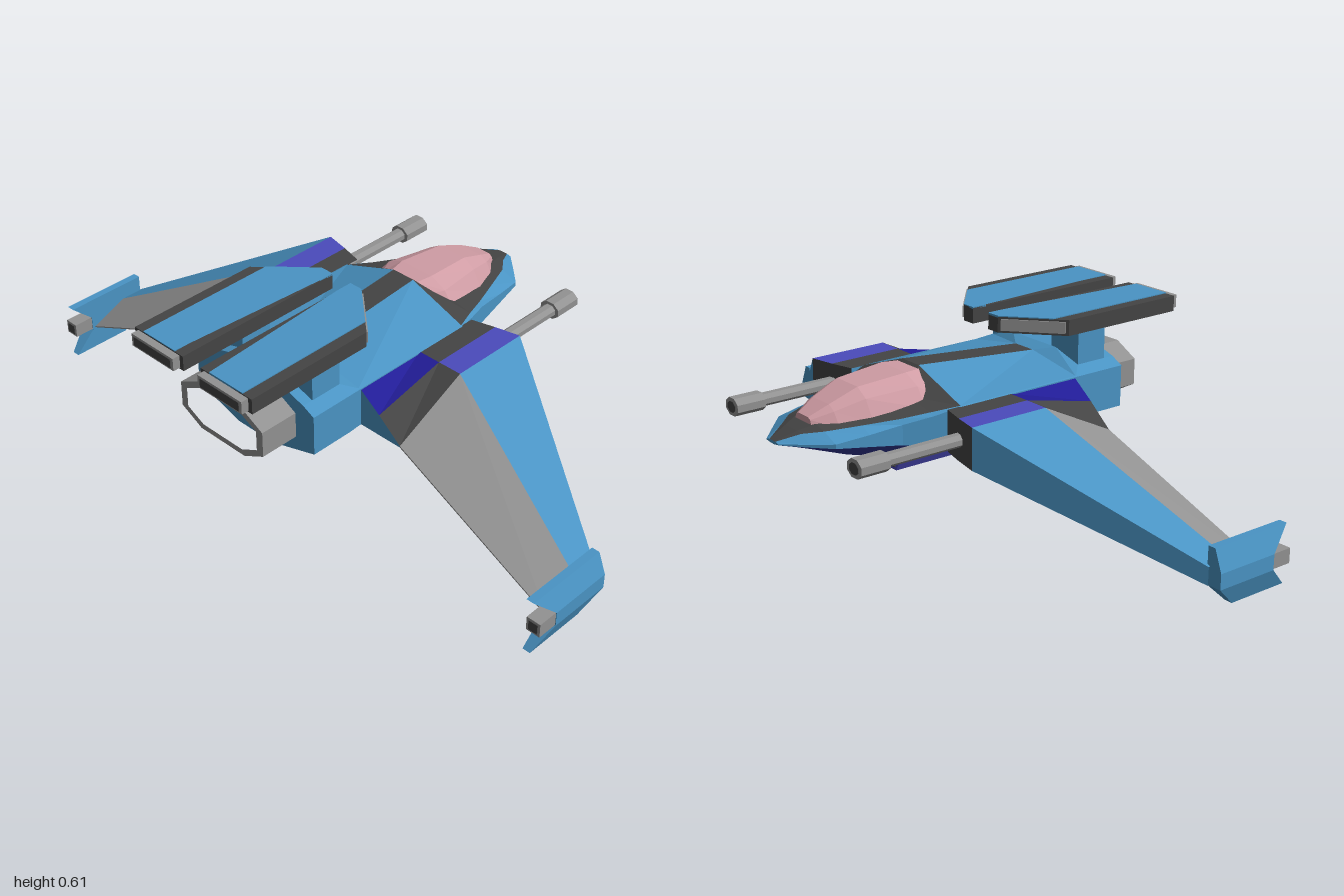
import * as THREE from 'three';

const BLUE = 0x4a94c4, NAVY = 0x33399a, INDIGO = 0x211c96, VIOLET = 0x4b4bbc;
const DARK = 0x444444, GREY = 0x929292, PINK = 0xcf9ca4;

const material = (color) => new THREE.MeshStandardMaterial({ color, flatShading: true });

// Joins rings of [x, y, z] points; strips[i] colours the band after point i, caps colour the ends.
function loft(name, rings, strips, caps = []) {
  const byColor = new Map();
  const V = (p) => new THREE.Vector3(...p);
  const add = (color, center, a, b, c) => {
    const normal = V(b).sub(V(a)).cross(V(c).sub(V(a)));
    if (normal.length() < 1e-9) return;
    const out = V(a).add(V(b)).add(V(c)).divideScalar(3).sub(center);
    if (!byColor.has(color)) byColor.set(color, []);
    byColor.get(color).push(...a, ...(normal.dot(out) < 0 ? [...c, ...b] : [...b, ...c]));
  };
  const middle = (points) => points.reduce((s, p) => s.add(V(p)), V([0, 0, 0])).divideScalar(points.length);
  for (let r = 0; r < rings.length - 1; r++) {
    const A = rings[r], B = rings[r + 1], n = A.length, center = middle([...A, ...B]);
    for (let i = 0; i < n; i++) {
      const j = (i + 1) % n, color = strips[i % strips.length];
      add(color, center, A[i], A[j], B[j]);
      add(color, center, A[i], B[j], B[i]);
    }
    const cap = (ring, color) => {
      for (let i = 1; i < n - 1; i++) add(color, center, ring[0], ring[i], ring[i + 1]);
    };
    if (r === 0 && caps[0] !== undefined) cap(A, caps[0]);
    if (r === rings.length - 2 && caps[1] !== undefined) cap(B, caps[1]);
  }
  const group = new THREE.Group();
  group.name = name;
  for (const [color, positions] of byColor) {
    const g = new THREE.BufferGeometry();
    g.setAttribute('position', new THREE.Float32BufferAttribute(positions, 3));
    g.computeVertexNormals();
    const mesh = new THREE.Mesh(g, material(color));
    mesh.name = name + 'Panel';
    group.add(mesh);
  }
  return group;
}

// Symmetric section at z from half-profile points [x, y], listed top to bottom.
const section = (z, half) => [
  ...half.map(([x, y]) => [x, y, z]),
  ...half.slice().reverse().map(([x, y]) => [-x, y, z]),
];
// Strip colours for a symmetric section: bands down one side, then belly, bands back up, top.
const bands = (side, belly, top) => [...side, belly, ...side.slice().reverse(), top];

function box(name, color, x0, x1, y0, y1, z0, z1) {
  const mesh = new THREE.Mesh(new THREE.BoxGeometry(Math.abs(x1 - x0), y1 - y0, z1 - z0), material(color));
  mesh.position.set((x0 + x1) / 2, (y0 + y1) / 2, (z0 + z1) / 2);
  mesh.name = name;
  return mesh;
}

// Horizontal slab from a plan outline of [x, z] points.
const slab = (name, plan, y0, y1, side, top, bottom) =>
  loft(name, [plan.map(([x, z]) => [x, y0, z]), plan.map(([x, z]) => [x, y1, z])], [side], [bottom, top]);

function fuselage() {
  const g = new THREE.Group();
  g.name = 'fuselage';
  // Half profiles: top, inner frame edge, shoulder, lower edge, belly
  const front = [[.04, .497], [.235, .427], [.24, .425], [.24, .305], [.07, .245]];
  const back = [[.04, .46], [.235, .427], [.24, .425], [.24, .3], [.07, .245]];
  const nose = [
    section(-.19, front),
    section(-.27, [[.1, .435], [.2, .415], [.21, .405], [.21, .315], [.07, .247]]),
    section(-.35, [[.1, .42], [.17, .405], [.18, .39], [.18, .33], [.065, .265]]),
    section(-.45, [[.08, .41], [.13, .397], [.163, .378], [.163, .343], [.055, .288]]),
    section(-.55, [[.05, .4], [.09, .39], [.145, .368], [.145, .355], [.04, .322]]),
    section(-.6, [[.03, .387], [.05, .383], [.095, .364], [.095, .356], [.03, .338]]),
    section(-.662, [[.01, .364], [.015, .364], [.03, .361], [.03, .358], [.01, .355]]),
  ];
  g.add(loft('nose', nose, bands([DARK, BLUE, BLUE, NAVY], NAVY, DARK), [undefined, BLUE]));
  g.add(loft('midBody', [section(-.19, front), section(.24, back)], bands([BLUE, BLUE, BLUE, NAVY], NAVY, DARK)));
  const block = [[.1, .475], [.2, .445], [.24, .425], [.24, .297], [.07, .245]];
  g.add(loft('engineBlock', [section(.24, back), section(.28, block), section(.42, block)],
    bands([BLUE, BLUE, BLUE, NAVY], NAVY, BLUE), [undefined, BLUE]));

  g.add(loft('canopy', [
    section(-.195, [[.05, .49], [.09, .465], [.13, .43]]),
    section(-.25, [[.06, .492], [.115, .465], [.155, .41]]),
    section(-.41, [[.05, .48], [.09, .455], [.125, .395]]),
    section(-.5, [[.04, .445], [.065, .43], [.09, .39]]),
    section(-.56, [[.025, .416], [.035, .41], [.045, .385]]),
  ], [PINK], [PINK, PINK]));

  const keel = [[.065, .25], [.035, .19]];
  g.add(loft('keel', [section(-.27, keel), section(.2, keel)], [VIOLET], [VIOLET, VIOLET]));
  g.add(box('keelIntake', DARK, -.032, .032, .2, .24, -.274, -.26));
  return g;
}

// Hollow hexagonal exhaust
function exhaust() {
  const hex = (P, w, h, t) => P.setFromPoints(
    [[-t, h], [t, h], [w, h / 2], [w, -h / 2], [t, -h], [-t, -h], [-w, -h / 2], [-w, h / 2]].map((p) => new THREE.Vector2(...p)));
  const g = new THREE.Group();
  g.name = 'exhaust';
  const shape = hex(new THREE.Shape(), .168, .082, .09);
  shape.holes.push(hex(new THREE.Path(), .143, .064, .08));
  const shell = new THREE.Mesh(new THREE.ExtrudeGeometry(shape, { depth: .13, bevelEnabled: false }), material(GREY));
  shell.name = 'exhaustShell';
  const throat = new THREE.Mesh(new THREE.ShapeGeometry(hex(new THREE.Shape(), .15, .07, .085)), material(DARK));
  throat.position.z = .02;
  throat.name = 'exhaustThroat';
  g.add(shell, throat);
  g.position.set(0, .362, .415);
  return g;
}

// All parts of one side; s is +1 or -1
function side(s) {
  const g = new THREE.Group();
  g.name = s > 0 ? 'leftSide' : 'rightSide';

  // Wing section: lower and upper leading edge, ridge, trailing edge
  const foil = (x, yb, yt, zl, zr, zt, yTrail) => [
    [s * x, yb, zl], [s * x, yt, zl], [s * x, yt, zr], [s * x, yTrail, zt], [s * x, yb, zt]];
  const a = foil(.235, .3, .425, -.235, -.01, .235, .425);
  const b = foil(.31, .3, .425, -.255, -.01, .235, .37);
  const c = foil(.39, .3, .425, -.272, -.01, .235, .305);
  const tip = foil(.96, .068, .122, .07, .15, .27, .072);
  g.add(loft('wingRootInner', [a, b], [DARK, DARK, INDIGO, BLUE, NAVY]));
  g.add(loft('wingRootOuter', [b, c], [DARK, VIOLET, DARK, BLUE, NAVY]));
  g.add(loft('wing', [c, tip], [BLUE, BLUE, GREY, GREY, NAVY]));

  // Wing tip fin with a swallow-tail rear edge
  const row = (y, x, z0, z1) => [[s * .95, y, z0], [s * x, y, z0], [s * x, y, z1], [s * .95, y, z1]];
  g.add(loft('tipFin', [row(0, .975, .15, .35), row(.068, 1, .075, .28), row(.115, 1, .075, .28), row(.18, .975, .075, .35)],
    [BLUE], [BLUE, BLUE]));
  g.add(box('tipThruster', GREY, s * .952, s * .998, .07, .115, .27, .345));
  g.add(box('tipThrusterOpening', DARK, s * .96, s * .99, .077, .108, .33, .347));

  // Forward cannon
  const tube = (name, color, r, z0, z1, sx) => {
    const geo = new THREE.CylinderGeometry(r, r, z1 - z0, 8).rotateX(Math.PI / 2).rotateZ(Math.PI / 8);
    const m = new THREE.Mesh(geo, material(color));
    m.scale.x = sx;
    m.position.set(s * .312, .363, (z0 + z1) / 2);
    m.name = name;
    g.add(m);
  };
  tube('cannonBarrel', GREY, .02, -.53, -.2, 1.2);
  tube('cannonMuzzle', GREY, .029, -.605, -.51, 1.25);
  tube('cannonBore', DARK, .018, -.607, -.59, 1.25);

  // Upper pod on its pylon
  g.add(box('pylon', BLUE, s * .08, s * .2, .43, .56, .28, .385));
  const plan = (pts) => pts.map(([x, z]) => [s * x, z]);
  const outline = plan([[.036, .636], [.236, .636], [.236, .21], [.08, .07], [.036, .07]]);
  g.add(slab('pod', outline, .555, .603, DARK, DARK, DARK));
  g.add(slab('podTop', plan([[.07, .636], [.2, .636], [.2, .178], [.08, .07], [.036, .07], [.036, .12], [.07, .17]]),
    .6, .606, BLUE, BLUE, DARK));
  g.add(slab('podIntake', plan([[.232, .2], [.09, .073], [.085, .08], [.226, .207]]), .562, .597, GREY, GREY, GREY));
  g.add(box('podNozzle', GREY, s * .05, s * .222, .56, .6, .63, .66));
  g.add(box('podNozzleOpening', DARK, s * .06, s * .212, .566, .594, .65, .662));
  return g;
}

export function createModel() {
  const model = new THREE.Group();
  model.name = 'spaceFighter';
  model.add(fuselage(), exhaust(), side(1), side(-1));
  return model;
}
